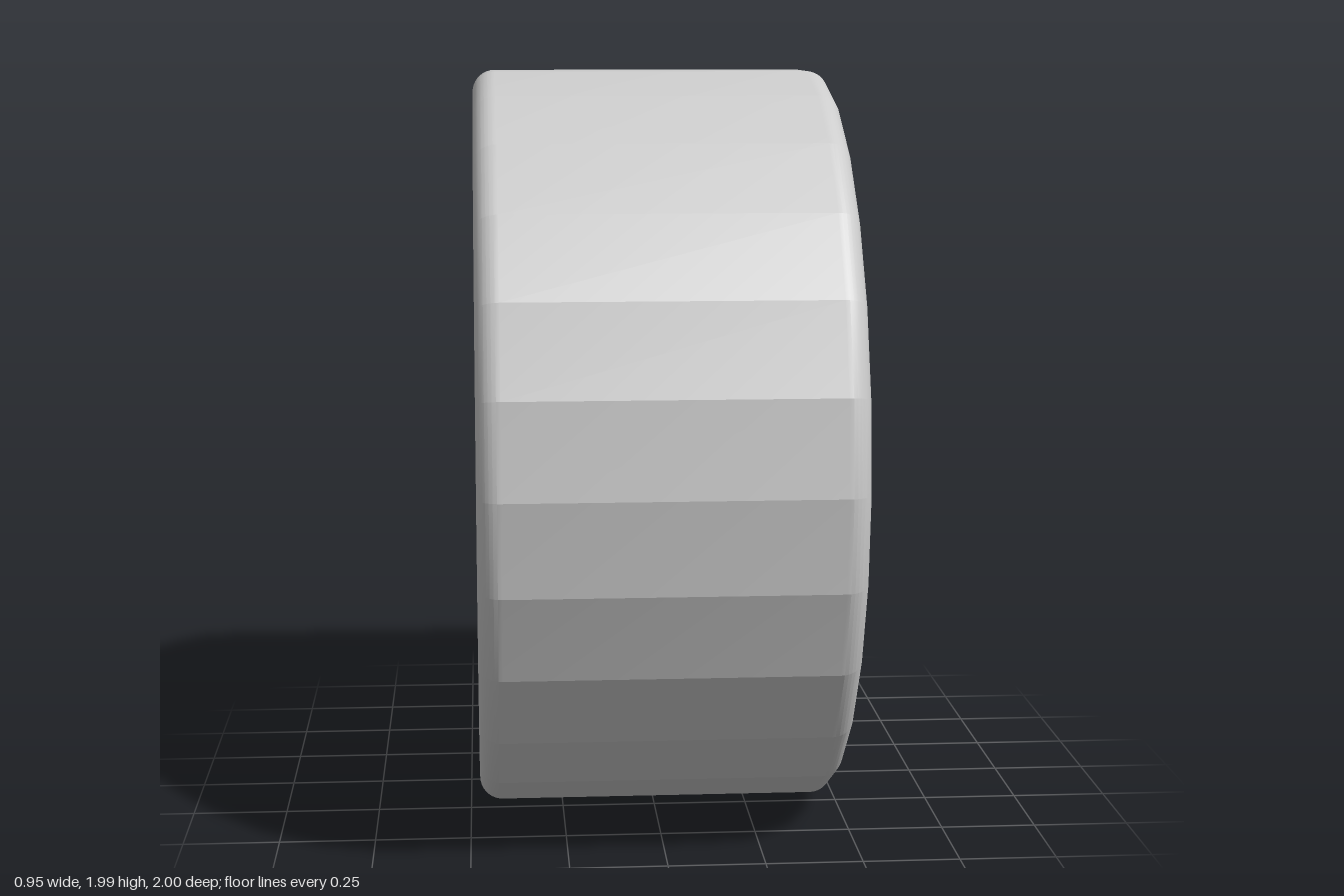
import * as THREE from 'three';
import { toCreasedNormals } from 'three/addons/utils/BufferGeometryUtils.js';

const SIDES = 26, SPOKES = 12, SPOKE_ANGLE = THREE.MathUtils.degToRad(16.5);
const material = new THREE.MeshStandardMaterial({ color: 0xcccccc });

function part(name, geometry) {
  const mesh = new THREE.Mesh(geometry, material);
  mesh.name = name;
  return mesh;
}

// points [radius, x] of an elliptical arc, angles in degrees
function arc(r, x, a, b, from, to, steps = 9) {
  return Array.from({ length: steps + 1 }, (_, i) => {
    const t = THREE.MathUtils.degToRad(from + (to - from) * i / steps);
    return [r + a * Math.cos(t), x + b * Math.sin(t)];
  });
}

// ring around the x axis from the +x half of its profile, mirrored to -x;
// faceted around, smooth along the profile
function ring(half) {
  const mirrored = half.map(([r, x]) => [r, -x]).reverse();
  const loop = [...half, ...mirrored, half[0]].map(([r, x]) => new THREE.Vector2(r, x));
  const geometry = new THREE.LatheGeometry(loop, SIDES).rotateZ(-Math.PI / 2);
  return toCreasedNormals(geometry, 0.235);
}

// disc along x from x0 to x1 with a hole of a given number of sides
function disc(radius, holeRadius, holeSides, x0, x1) {
  const shape = new THREE.Shape().absarc(0, 0, radius, 0, Math.PI * 2);
  const corners = Array.from({ length: holeSides }, (_, i) => {
    const t = -i / holeSides * Math.PI * 2;
    return new THREE.Vector2(holeRadius * Math.cos(t), holeRadius * Math.sin(t));
  });
  shape.holes.push(new THREE.Path(corners));
  const geometry = new THREE.ExtrudeGeometry(shape, { depth: x1 - x0, bevelEnabled: false, curveSegments: 32 });
  geometry.translate(0, 0, x0).rotateY(Math.PI / 2);
  return toCreasedNormals(geometry, 0.5);
}

// bent spoke: a side profile (radius, x) swept through a small angle
function spokeGeometry() {
  const profile = [
    [0.2, -0.08], [0.3, -0.02], [0.52, 0.19], [0.56, 0.21], [0.69, 0.23],
    [0.69, 0.34], [0.55, 0.32], [0.5, 0.28], [0.3, 0.07], [0.2, 0.0],
  ].map(([r, x]) => new THREE.Vector2(r, x));
  const geometry = new THREE.ExtrudeGeometry(new THREE.Shape(profile), { depth: 1, bevelEnabled: false });
  const p = geometry.attributes.position;
  for (let i = 0; i < p.count; i++) {
    const r = p.getX(i), a = (1 - p.getZ(i)) * SPOKE_ANGLE;
    p.setXYZ(i, p.getY(i), r * Math.sin(a), -r * Math.cos(a));
  }
  return toCreasedNormals(geometry, 0.45);
}

export function createModel() {
  const wheel = new THREE.Group();
  wheel.name = 'wheel';
  const spin = new THREE.Group();
  spin.name = 'wheelBody';
  spin.position.y = 1;
  wheel.add(spin);

  // tyre with rounded shoulders and inner edges
  spin.add(part('tyre', ring([
    ...arc(0.94, 0.415, 0.06, 0.06, 0, 90),
    ...arc(0.79, 0.405, 0.07, 0.07, 90, 180),
    [0.72, 0.35],
  ])));

  // rim barrel with a rounded lip at each end
  spin.add(part('rim', ring([
    [0.735, 0.36],
    ...arc(0.702, 0.375, 0.024, 0.024, 0, 180, 14),
    [0.678, 0.345],
  ])));

  // hub: front plate with axle hole, rear sleeve with hexagonal socket
  spin.add(part('hubPlate', disc(0.245, 0.065, 20, -0.03, 0.03)));
  spin.add(part('hubSocket', disc(0.245, 0.2, 6, -0.145, -0.03)));

  // spokes
  const spokes = new THREE.Group();
  spokes.name = 'spokes';
  const geometry = spokeGeometry();
  for (let i = 0; i < SPOKES; i++) {
    const spoke = part('spoke', geometry);
    spoke.rotation.x = i / SPOKES * Math.PI * 2;
    spokes.add(spoke);
  }
  spin.add(spokes);
  return wheel;
}
